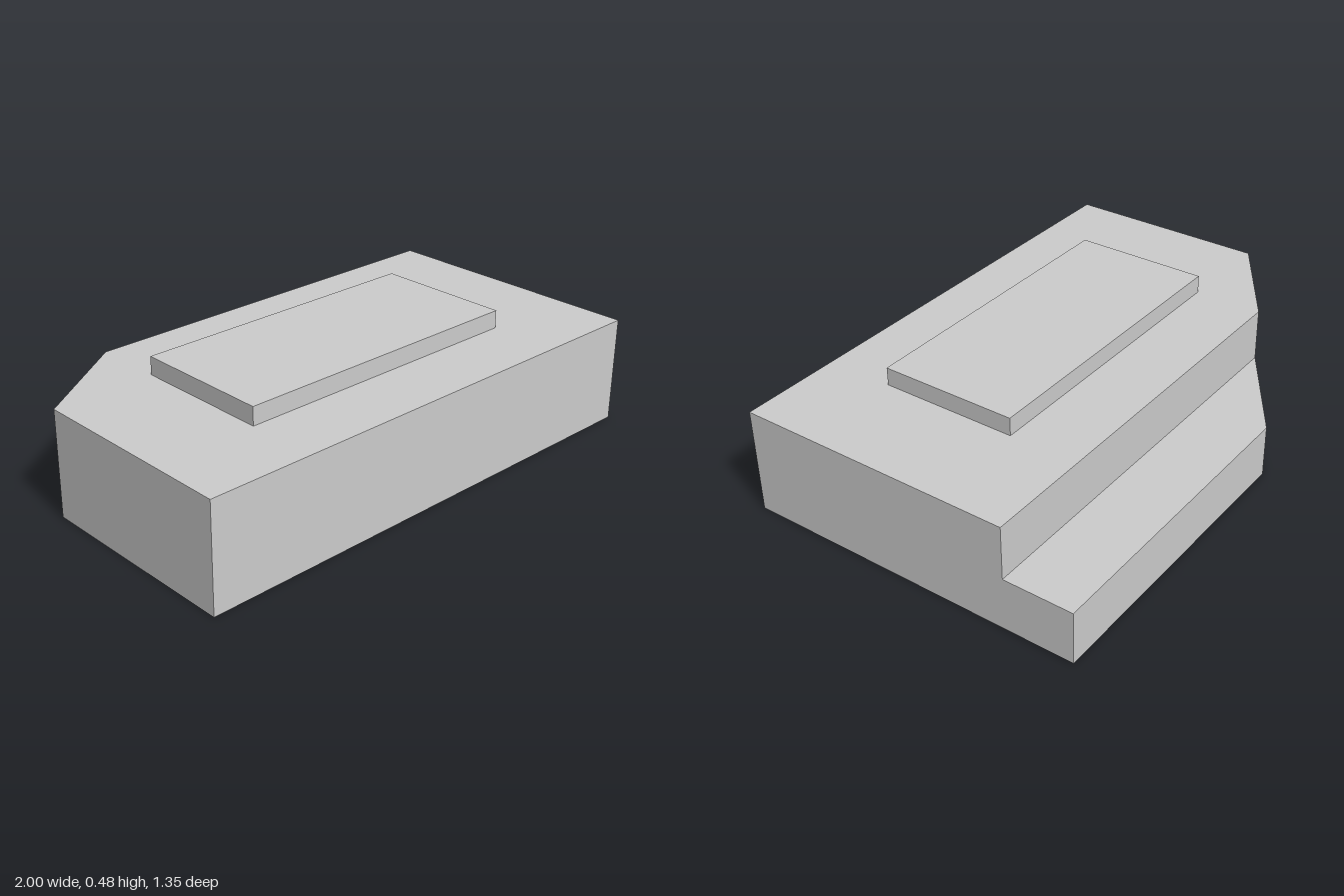
import * as THREE from 'three';

const material = new THREE.MeshStandardMaterial({ color: 0xcccccc, flatShading: true });

// Upright prism from a plan outline of [x, z] points
function prism(name, outline, y0, y1) {
  const shape = new THREE.Shape(outline.map(([x, z]) => new THREE.Vector2(x, -z)));
  const geometry = new THREE.ExtrudeGeometry(shape, { depth: y1 - y0, bevelEnabled: false });
  geometry.rotateX(-Math.PI / 2).translate(0, y0, 0);
  const mesh = new THREE.Mesh(geometry, material);
  mesh.name = name;
  return mesh;
}

export function createModel() {
  const group = new THREE.Group();
  group.name = 'steppedBlock';

  const front = 0.675, back = -0.675, stepZ = -0.405;
  const topY = 0.41, stepY = 0.205;

  // Full-height block with the first half of the corner cut
  group.add(prism('mainBlock',
    [[-1, front], [1, front], [1, stepZ], [-0.6, stepZ], [-1, -0.135]], 0, topY));

  // Lower rear ledge, continuing the corner cut
  group.add(prism('rearLedge',
    [[-0.6, stepZ], [1, stepZ], [1, back], [-0.2, back]], 0, stepY));

  // Raised rectangular pad on top
  group.add(prism('topPad',
    [[-0.6, 0.405], [0.6, 0.405], [0.6, -0.135], [-0.6, -0.135]], topY, 0.48));

  return group;
}
